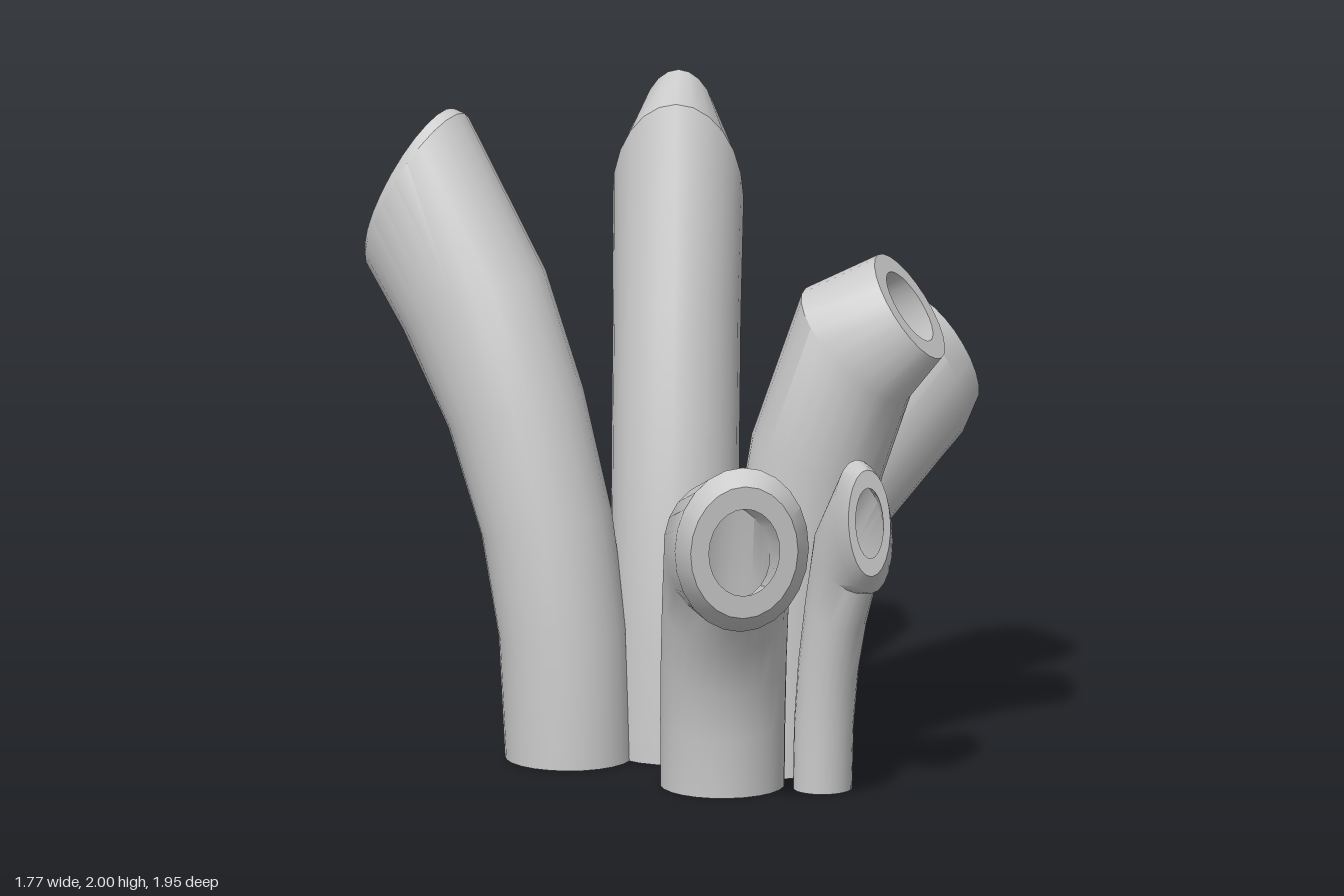
import * as THREE from 'three';
import { toCreasedNormals } from 'three/addons/utils/BufferGeometryUtils.js';

const SIDES = 24;
const BORE = 0.66; // inner radius as a share of the outer radius
const STEM = [0, 0.28, 0.52, 0.77, 1]; // heights of the stem rings, as shares of the elbow height
const { lerp, degToRad } = THREE.MathUtils;

// One elliptical cross-section: out is the distance along the lean, tilt is in degrees,
// width is the half size across the lean and depth the half size along it.
const ring = (out, y, tilt, width, depth) => ({ out, y, tilt, width, depth });

// Rings of the stem: a round pipe that rises straight, then curves and deepens into the elbow.
function stemRings(radius, elbow) {
  return STEM.map((q) => ring(
    elbow.out * q ** 2.2,
    elbow.y * q,
    elbow.tilt * q ** 1.2,
    lerp(radius, elbow.width, q),
    lerp(radius, elbow.depth, q ** 3)));
}

// Points of a ring, with its size multiplied by scale.
function ringPoints(section, base, azimuth, shift, scale) {
  const tilt = degToRad(section.tilt);
  const ahead = new THREE.Vector3(Math.sin(azimuth), 0, Math.cos(azimuth));
  const side = new THREE.Vector3(ahead.z, 0, -ahead.x);
  const down = ahead.clone().multiplyScalar(Math.cos(tilt)).setY(-Math.sin(tilt));
  const centre = new THREE.Vector3(base[0], section.y, base[1])
    .addScaledVector(ahead, section.out)
    .addScaledVector(side, shift);
  return Array.from({ length: SIDES }, (_, j) => {
    const angle = (j / SIDES) * Math.PI * 2;
    return centre.clone()
      .addScaledVector(side, section.width * scale * Math.cos(angle))
      .addScaledVector(down, section.depth * scale * Math.sin(angle));
  });
}

// Closed skin through looping rows of points.
function skin(rows) {
  const index = [];
  for (let i = 0; i < rows.length; i++) {
    const next = (i + 1) % rows.length;
    for (let j = 0; j < SIDES; j++) {
      const k = (j + 1) % SIDES;
      const a = i * SIDES + j, b = next * SIDES + j, c = i * SIDES + k, d = next * SIDES + k;
      index.push(a, b, c, b, d, c);
    }
  }
  const geometry = new THREE.BufferGeometry().setFromPoints(rows.flat());
  geometry.setIndex(index);
  return toCreasedNormals(geometry, degToRad(32));
}

// Hollow tube: up the outer wall, over the bevelled rim, down the bore and across the base.
function tube(name, { base, lean, radius, elbow, shoulder, rim, bend = 0 }) {
  const azimuth = Math.atan2(lean[0], lean[1]);
  const sections = [...stemRings(radius, elbow), shoulder, rim];
  const wall = (scale) => sections.map((section) => {
    const shift = bend * Math.sin((Math.PI * section.out) / rim.out);
    return ringPoints(section, base, azimuth, shift, scale);
  });
  const material = new THREE.MeshStandardMaterial({ color: 0xcccccc });
  const mesh = new THREE.Mesh(skin([...wall(1), ...wall(BORE).reverse()]), material);
  mesh.name = name;
  return mesh;
}

export function createModel() {
  const group = new THREE.Group();
  group.name = 'tubeCluster';

  // Tall tubes
  group.add(tube('leftTube', {
    base: [-0.25, -0.04], lean: [-0.91, -0.41], radius: 0.19,
    elbow: ring(0.33, 1.35, 27, 0.205, 0.24),
    shoulder: ring(0.53, 1.66, 61, 0.195, 0.285),
    rim: ring(0.55, 1.68, 63, 0.175, 0.27),
  }));
  group.add(tube('middleTube', {
    base: [0.05, -0.155], lean: [-0.04, -0.4], radius: 0.19,
    elbow: ring(0.2, 1.28, 22, 0.19, 0.225),
    shoulder: ring(0.29, 1.62, 66, 0.195, 0.345),
    rim: ring(0.395, 1.775, 73, 0.12, 0.235),
  }));

  // Medium tubes
  group.add(tube('rightTube', {
    base: [0.4, -0.03], lean: [0.385, 0.09], radius: 0.19,
    elbow: ring(0.1, 0.95, 18, 0.19, 0.205),
    shoulder: ring(0.225, 1.3, 45, 0.195, 0.225),
    rim: ring(0.395, 1.43, 56, 0.13, 0.18),
  }));
  group.add(tube('backTube', {
    base: [0.3, -0.4], lean: [0.7, -0.71], radius: 0.175,
    elbow: ring(0.2, 0.72, 38, 0.19, 0.23),
    shoulder: ring(0.55, 1.04, 63, 0.2, 0.25),
    rim: ring(0.64, 1.08, 63, 0.15, 0.2),
  }));

  // Short tubes
  group.add(tube('frontTube', {
    base: [0.25, 0.25], lean: [0.16, 0.68], radius: 0.185,
    elbow: ring(0.16, 0.745, 41, 0.19, 0.265),
    shoulder: ring(0.61, 0.86, 97, 0.2, 0.26),
    rim: ring(0.69, 0.87, 98, 0.16, 0.21),
  }));
  group.add(tube('smallTube', {
    base: [0.55, 0.255], lean: [0.58, 0.81], radius: 0.088, bend: 0.03,
    elbow: ring(0.1, 0.72, 38, 0.09, 0.14),
    shoulder: ring(0.22, 0.84, 76, 0.095, 0.2),
    rim: ring(0.3, 0.87, 84, 0.07, 0.16),
  }));
  return group;
}
